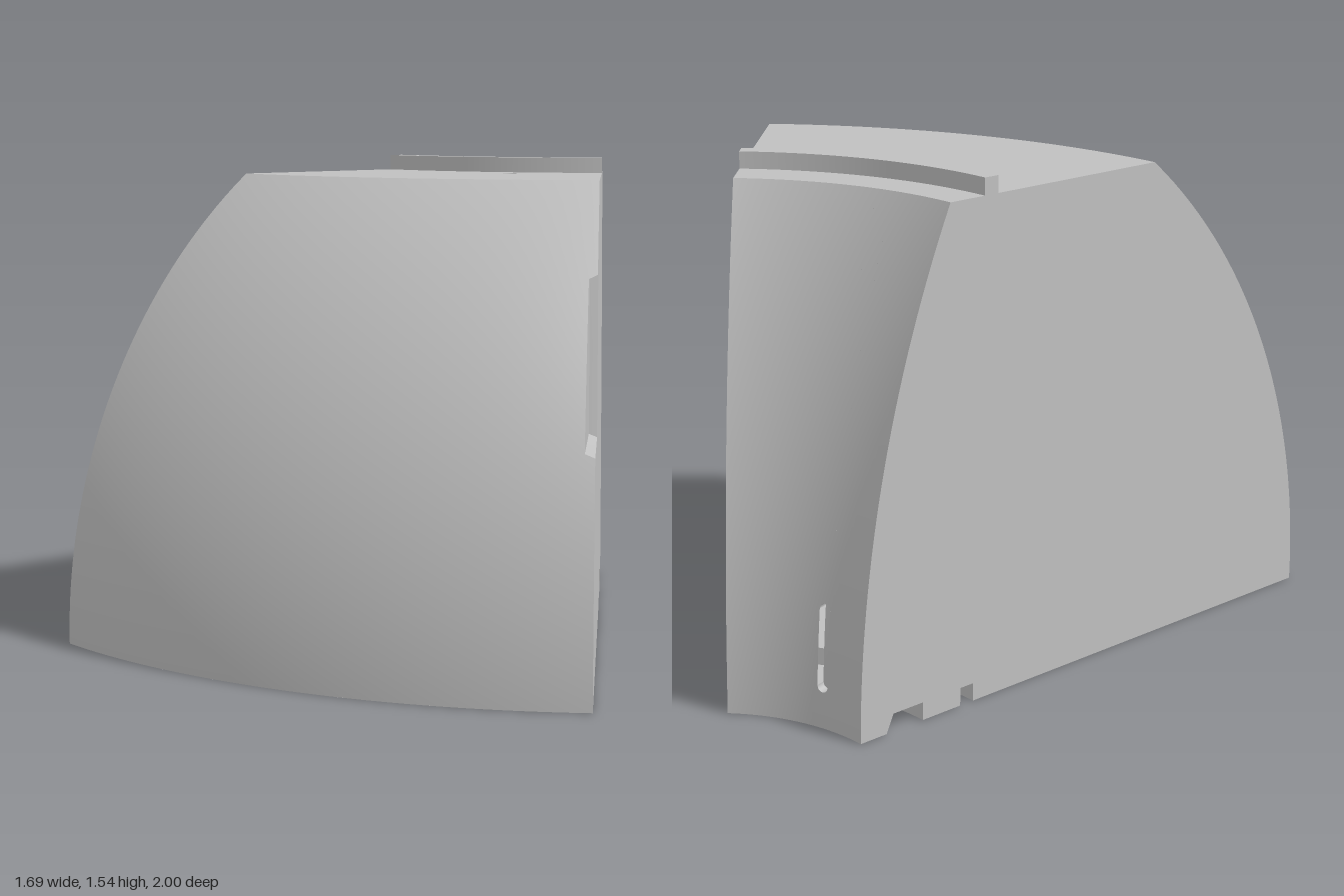
import * as THREE from 'three';
import { ParametricGeometry } from 'three/addons/geometries/ParametricGeometry.js';

const SWEEP = Math.PI / 4, SEG = 48;
const TOP = 1.49, LIP = 1.54;
const lerp = THREE.MathUtils.lerp;

// radii of the curved outer and inner walls at height y
const outerR = y => 0.493 + Math.sqrt(1.902 ** 2 - y * y);
const innerR = y => 4.19 - Math.sqrt(3.63 ** 2 - y * y);

// recess in the angled side, and slot in the inner wall
const pocket = { y0: 0.715, y1: 1.22, r: 1.853, phi: SWEEP - 0.0135, inset: 0.012 };
const slot = { phi: Math.PI / 12, half: 0.031, cap: 0.0175, y0: 0.1275, y1: 0.355, depth: 0.03 };

export function createModel() {
  const grey = new THREE.MeshStandardMaterial({ color: 0xc0c0c0, side: THREE.DoubleSide });
  grey.name = 'stone grey';
  const model = new THREE.Group();
  model.name = 'domeSegment';
  const body = new THREE.Group();
  body.name = 'body';
  body.position.set(-0.845, 0, -1.395); // axis of the ring
  model.add(body);

  const add = (name, geometry) => {
    const mesh = new THREE.Mesh(geometry, grey);
    mesh.name = name;
    body.add(mesh);
    return mesh;
  };

  // surface given by f(u, v) -> [radius, height, angle]
  const patch = (name, f, nu, nv) => add(name, new ParametricGeometry((u, v, p) => {
    const [r, y, phi] = f(u, v);
    p.set(r * Math.sin(phi), y, r * Math.cos(phi));
  }, nu, nv));

  // straight profile edges swept round the axis
  const bands = (name, pts) => {
    for (let i = 0; i + 1 < pts.length; i++) {
      const [a, b] = [pts[i], pts[i + 1]];
      patch(name, (u, v) => [lerp(a[0], b[0], v), lerp(a[1], b[1], v), u * SWEEP], SEG, 1);
    }
  };

  // flat ring sector with a blind round hole; dir is 1 facing up, -1 facing down
  const plate = (name, r0, r1, y, dir, holeR, holeSize) => {
    const a0 = dir > 0 ? -Math.PI / 2 : Math.PI / 4, a1 = a0 + SWEEP;
    const shape = new THREE.Shape();
    shape.absarc(0, 0, r1, a0, a1, false);
    shape.absarc(0, 0, r0, a1, a0, true);
    const hx = holeR * Math.sin(Math.PI / 6), hz = holeR * Math.cos(Math.PI / 6);
    const hole = new THREE.Path();
    hole.absarc(hx, -dir * hz, holeSize, 0, Math.PI * 2, true);
    shape.holes.push(hole);
    add(name, new THREE.ShapeGeometry(shape, SEG).rotateX(-dir * Math.PI / 2)).position.y = y;
    const depth = 0.06;
    add(name + 'HoleWall', new THREE.CylinderGeometry(holeSize, holeSize, depth, 24, 1, true))
      .position.set(hx, y - dir * depth / 2, hz);
    add(name + 'HoleFloor', new THREE.CircleGeometry(holeSize, 24).rotateX(-dir * Math.PI / 2))
      .position.set(hx, y - dir * depth, hz);
  };

  // underside grooves, and raised lip on top
  const under = [[innerR(0), 0], [0.655, 0], [0.68, 0.055], [0.79, 0.055], [0.79, 0],
    [0.933, 0], [0.933, 0.055], [0.983, 0.055], [0.983, 0]];
  const over = [[1.055, TOP], [1.055, LIP], [1.005, LIP], [1.005, TOP], [innerR(TOP), TOP]];
  bands('underside', under);
  bands('topLip', over);
  plate('base', 0.983, outerR(0), 0, -1, 1.68, 0.018);
  plate('topDeck', 1.055, outerR(TOP), TOP, 1, 1.18, 0.025);

  // outer wall, with its last narrow strip interrupted by the pocket
  const wall = (phi0, phi1, y0, y1, nu, nv) => patch('outerWall', (u, v) => {
    const y = lerp(y0(u), y1(u), v);
    return [outerR(y), y, lerp(phi0, phi1, u)];
  }, nu, nv);
  const low = u => lerp(pocket.y0 + pocket.inset, pocket.y0, u);
  const high = u => lerp(pocket.y1 - pocket.inset, pocket.y1, u);
  const inside = u => lerp(pocket.r + pocket.inset, pocket.r, u);
  const phiAt = u => lerp(pocket.phi, SWEEP, u);
  wall(0, pocket.phi, () => 0, () => TOP, SEG, 40);
  wall(pocket.phi, SWEEP, () => 0, low, 1, 20);
  wall(pocket.phi, SWEEP, high, () => TOP, 1, 10);

  // pocket floor and its sloped walls
  patch('pocketFloor', (u, v) => {
    const y = lerp(low(0), high(0), u);
    return [lerp(inside(0), outerR(y), v), y, pocket.phi];
  }, 20, 1);
  patch('pocketEnd', (u, v) => [inside(u), lerp(low(u), high(u), v), phiAt(u)], 1, 1);
  patch('pocketTop', (u, v) => [lerp(inside(u), outerR(high(u)), v), high(u), phiAt(u)], 1, 1);
  patch('pocketBottom', (u, v) => [lerp(outerR(low(u)), inside(u), v), low(u), phiAt(u)], 1, 1);

  // inner wall, split round the slot
  const inner = (name, phi0, phi1, yTop, yBottom, nu, nv, push = 0) => patch(name, (u, v) => {
    const y = lerp(yTop(u), yBottom(u), v);
    return [innerR(y) + push, y, lerp(phi0, phi1, u)];
  }, nu, nv);
  const s0 = slot.phi - slot.half, s1 = slot.phi + slot.half;
  const round = u => slot.cap * Math.sqrt(Math.max(0, 1 - (2 * u - 1) ** 2));
  const slotTop = u => slot.y1 + round(u), slotBottom = u => slot.y0 - round(u);
  inner('innerWall', 0, s0, () => TOP, () => 0, 16, 30);
  inner('innerWall', s1, SWEEP, () => TOP, () => 0, 30, 30);
  inner('innerWall', s0, s1, () => TOP, slotTop, 16, 24);
  inner('innerWall', s0, s1, slotBottom, () => 0, 16, 3);
  inner('slotFloor', s0, s1, slotTop, slotBottom, 16, 6, slot.depth);
  patch('slotWall', (u, v) => {
    const a = u * Math.PI * 2, s = Math.sin(a);
    const y = (s >= 0 ? slot.y1 : slot.y0) + slot.cap * s;
    return [innerR(y) + slot.depth * (1 - v), y, slot.phi + slot.half * Math.cos(a)];
  }, 32, 1);

  // flat radial sides closing the two ends
  const run = (f, y0, y1, n) => Array.from({ length: n + 1 }, (_, i) => {
    const y = lerp(y0, y1, i / n);
    return [f(y), y];
  });
  const rest = [...over, ...run(innerR, TOP, 0, 30).slice(1, -1), ...under];
  const side = (name, outer, sign, angle) => {
    const shape = new THREE.Shape([...outer, ...rest].map(([r, y]) => new THREE.Vector2(sign * r, y)));
    add(name, new THREE.ShapeGeometry(shape).rotateY(angle));
  };
  side('straightSide', run(outerR, 0, TOP, 40), 1, -Math.PI / 2);
  side('angledSide', [
    ...run(outerR, 0, pocket.y0, 20), [pocket.r, pocket.y0],
    [pocket.r, pocket.y1], ...run(outerR, pocket.y1, TOP, 10),
  ], -1, Math.PI * 3 / 4);

  return model;
}
